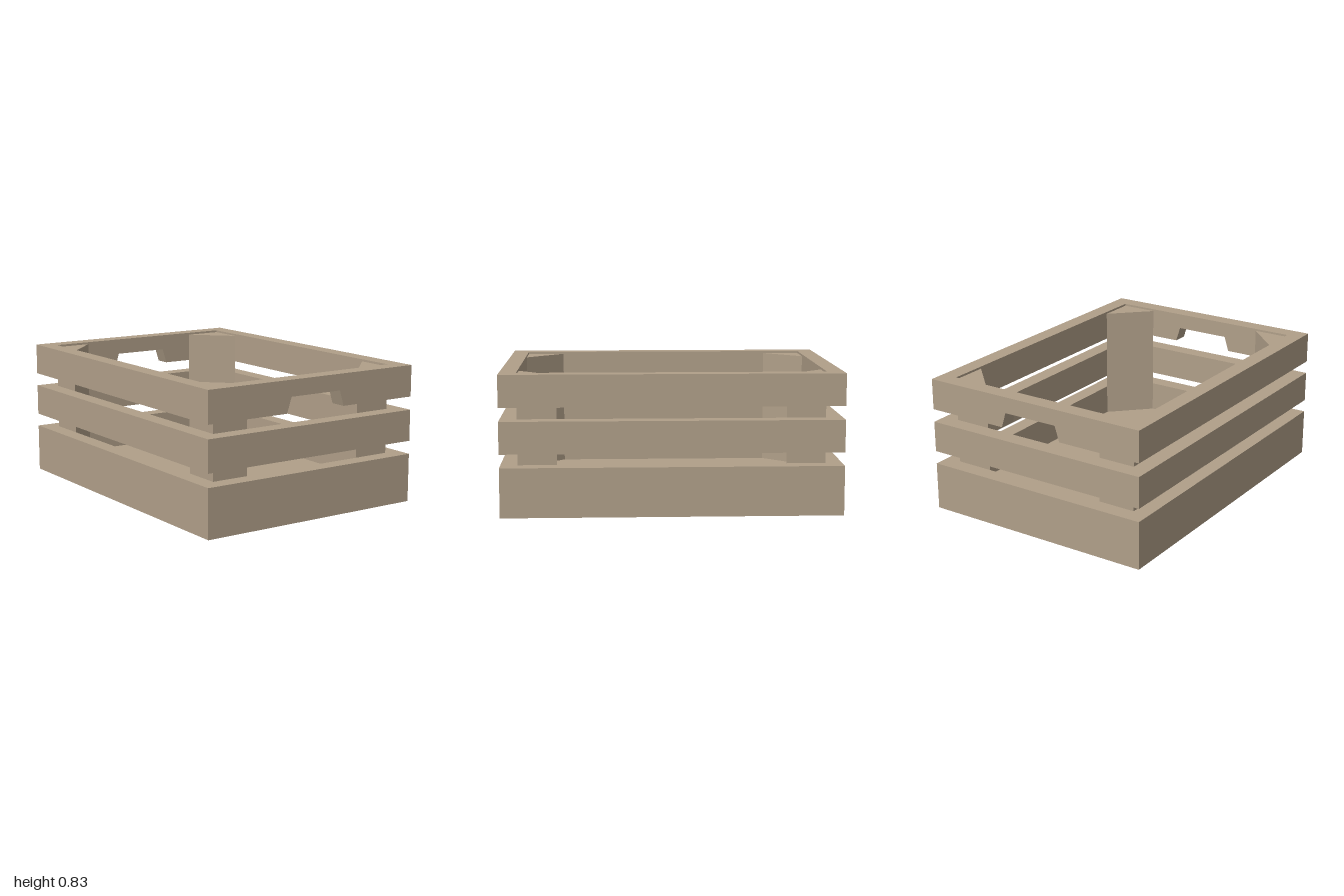
import * as THREE from 'three';

const W = 0.728, L = 1, T = 0.1;      // half width, half length, board thickness
const BASE = 0.103, SLAT = 0.19;      // base height, slat height
const LEVELS = [BASE, 0.373, 0.643];  // underside of each slat row

export function createModel() {
  const crate = new THREE.Group();
  crate.name = 'crate';
  const wood = new THREE.MeshStandardMaterial({ color: 0xb09f89, flatShading: true });

  const add = (name, geometry, x, y, z) => {
    const mesh = new THREE.Mesh(geometry, wood);
    mesh.name = name;
    mesh.position.set(x, y, z);
    crate.add(mesh);
    return mesh;
  };
  const polygon = (points) => new THREE.Shape(points.map(([x, y]) => new THREE.Vector2(x, y)));
  const extrude = (shape, depth) => new THREE.ExtrudeGeometry(shape, { depth, bevelEnabled: false });

  // Solid floor
  add('base', new THREE.BoxGeometry(2 * W, BASE, 2 * L), 0, BASE / 2, 0);

  // End board with a tapered hand cut-out in its lower edge
  const inner = W - T;
  const handleBoard = extrude(polygon([
    [-inner, 0], [-0.196, 0], [-0.166, 0.093], [0.182, 0.093], [0.211, 0],
    [inner, 0], [inner, SLAT], [-inner, SLAT],
  ]), T);
  const sideBoard = new THREE.BoxGeometry(T, SLAT, 2 * L);
  const endBoard = new THREE.BoxGeometry(2 * inner, SLAT, T);

  // Three rows of slats around the crate
  LEVELS.forEach((y, row) => {
    for (const s of [-1, 1]) {
      add('sideSlat', sideBoard, s * (W - T / 2), y + SLAT / 2, 0);
      if (row < 2) add('endSlat', endBoard, 0, y + SLAT / 2, s * (L - T / 2));
      else add('handleSlat', handleBoard, 0, y, s > 0 ? L - T : -L);
    }
  });

  // Triangular posts filling the four inside corners
  const LEG = 0.23, POST_TOP = 0.82;
  for (const sx of [-1, 1]) for (const sz of [-1, 1]) {
    const x = sx * inner, z = sz * (L - T);
    // Shape y becomes -z once the extrusion is stood upright
    const shape = polygon([[x, -z], [x - sx * LEG, -z], [x, -(z - sz * LEG)]]);
    const post = add('cornerPost', extrude(shape, POST_TOP - BASE), 0, BASE, 0);
    post.rotation.x = -Math.PI / 2;
  }

  return crate;
}
